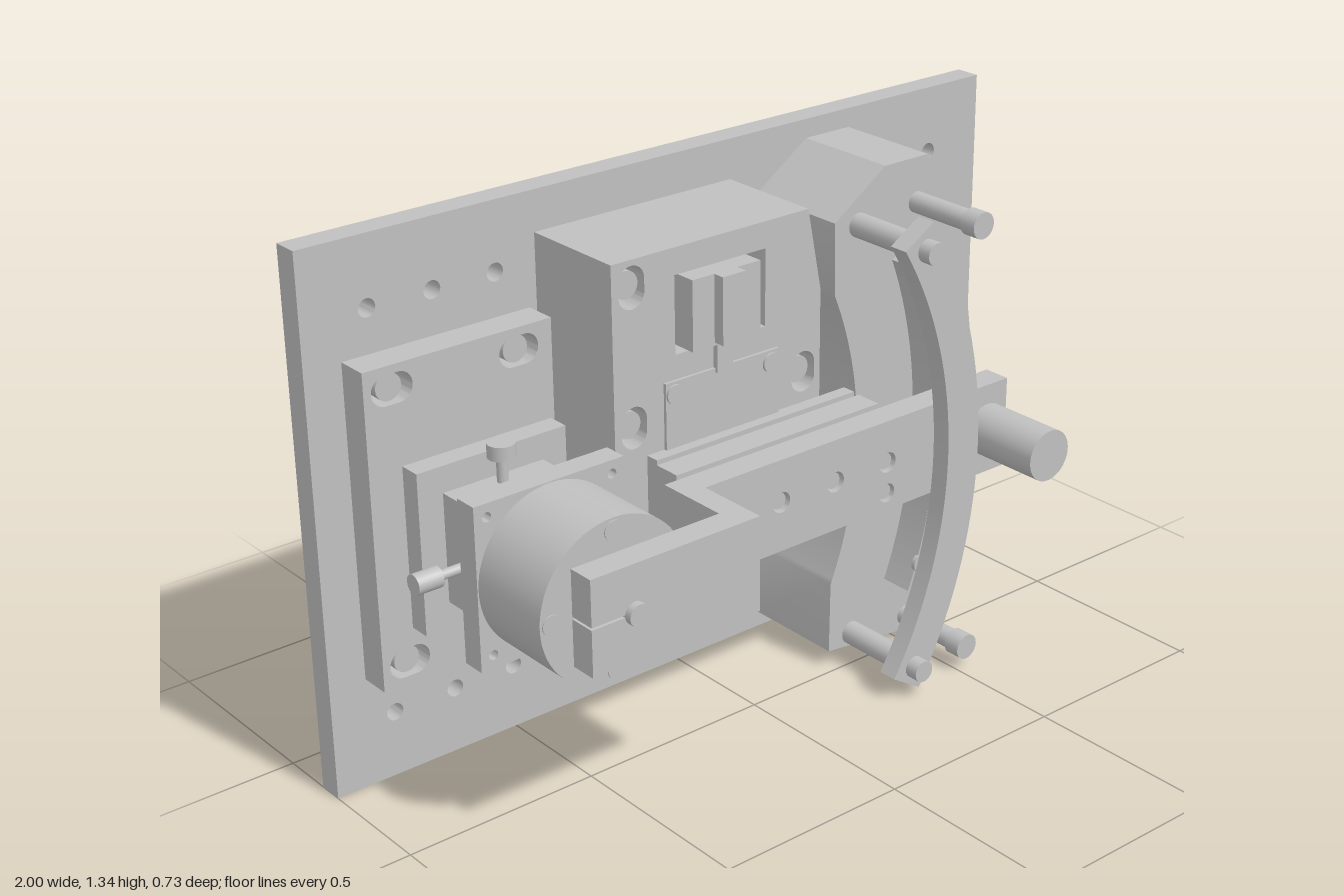
import * as THREE from 'three';
import { toCreasedNormals } from 'three/addons/utils/BufferGeometryUtils.js';

const PX = -0.62, PY = 0.617; // pivot of the swinging arm

export function createModel() {
  const root = new THREE.Group();
  const metal = new THREE.MeshStandardMaterial({ color: 0xc0c0c0 });
  metal.name = 'machined grey';

  const add = (name, geo, x = 0, y = 0, z = 0) => {
    const m = new THREE.Mesh(geo, metal);
    m.name = name;
    m.position.set(x, y, z);
    root.add(m);
    return m;
  };
  // box from its limits
  const box = (name, x0, x1, y0, y1, z0, z1) =>
    add(name, new THREE.BoxGeometry(x1 - x0, y1 - y0, z1 - z0), (x0 + x1) / 2, (y0 + y1) / 2, (z0 + z1) / 2);
  // cylinder along z
  const rod = (name, x, y, r, z0, z1, sides = 32) =>
    add(name, new THREE.CylinderGeometry(r, r, z1 - z0, sides).rotateX(Math.PI / 2), x, y, (z0 + z1) / 2);
  // outline pulled from z0 to z1
  const slab = (name, shape, z0, z1, seg = 12) =>
    add(name, toCreasedNormals(new THREE.ExtrudeGeometry(shape,
      { depth: z1 - z0, bevelEnabled: false, curveSegments: seg }), 0.5), 0, 0, z0);
  const poly = pts => new THREE.Shape(pts.map(p => new THREE.Vector2(...p)));
  const rect = (x0, x1, y0, y1) => poly([[x0, y0], [x1, y0], [x1, y1], [x0, y1]]);
  const hole = (shape, x, y, r) => shape.holes.push(new THREE.Path().absarc(x, y, r, 0, Math.PI * 2, true));
  // rounded slot, half length h along x or y
  const slot = (shape, x, y, r, h, upright) => {
    const p = new THREE.Path(), q = Math.PI / 2;
    if (upright) p.absarc(x, y + h, r, 0, 2 * q, false).absarc(x, y - h, r, 2 * q, 4 * q, false);
    else p.absarc(x + h, y, r, -q, q, false).absarc(x - h, y, r, q, 3 * q, false);
    shape.holes.push(p);
  };
  // curved band about the pivot
  const band = (r0, r1, a) => new THREE.Shape()
    .absarc(PX, PY, r1, -a, a, false).absarc(PX, PY, r0, a, -a, true);

  // perforated back plate
  const plate = rect(-1, 1, 0, 1.335);
  for (let i = -5; i <= 5; i++)
    for (let j = 1; j <= 7; j++) hole(plate, i / 6, j / 6, 0.022);
  slab('backPlate', plate, -0.365, -0.3, 8);

  // slotted mounting plate on the right-hand side, with its bolts
  const mount = rect(-0.905, -0.41, 0.28, 1.06);
  for (const x of [-0.833, -0.5]) for (const y of [0.335, 1.004]) {
    slot(mount, x, y, 0.036, 0.017, false);
    rod('mountBolt', x, y, 0.033, -0.3, -0.235, 20);
  }
  slab('mountPlate', mount, -0.3, -0.22);

  // rotary stage
  box('stageBase', -0.82, -0.42, 0.417, 0.817, -0.22, -0.165);
  box('stageBody', -0.755, -0.485, 0.482, 0.752, -0.165, -0.01);
  const flange = rect(-0.82, -0.42, 0.417, 0.817);
  for (const sx of [-1, 1]) for (const sy of [-1, 1]) hole(flange, PX + sx * 0.167, PY + sy * 0.167, 0.012);
  slab('stageFlange', flange, -0.01, 0.05, 8);
  rod('stageDrum', PX, PY, 0.197, 0.05, 0.272, 64);
  for (let k = 0; k < 4; k++) {
    const a = k * Math.PI / 2;
    rod('drumScrew', PX + 0.167 * Math.cos(a), PY + 0.167 * Math.sin(a), 0.024, 0.27, 0.275, 20);
  }
  rod('stageShaft', PX, PY, 0.027, 0.27, 0.36, 24);
  const knob = (name, r, len, x, y, z, sideways) => {
    const m = add(name, new THREE.CylinderGeometry(r, r, len, 24), x, y, z);
    if (sideways) m.rotation.z = Math.PI / 2;
  };
  knob('topKnobStem', 0.013, 0.08, PX, 0.785, -0.13, false);
  knob('topKnob', 0.033, 0.035, PX, 0.83, -0.13, false);
  knob('sideKnobStem', 0.012, 0.08, -0.785, 0.592, -0.105, true);
  knob('sideKnob', 0.025, 0.065, -0.85, 0.592, -0.105, true);

  // centre block: solid back and a pocketed front layer
  const outline = [[-0.39, 0.44], [0.22, 0.44], [0.22, 1.03], [0.18, 1.235], [-0.39, 1.235]];
  slab('centreBlock', poly(outline), -0.3, -0.09);
  const face = poly(outline);
  face.holes.push(new THREE.Path([[-0.215, 0.98], [-0.215, 1.17], [0.05, 1.17], [0.05, 0.98]]
    .map(p => new THREE.Vector2(...p))));
  for (const [x, y] of [[-0.335, 1.17], [-0.335, 0.835], [0.167, 0.835]]) {
    slot(face, x, y, 0.036, 0.015, true);
    rod('blockBolt', x, y, 0.033, -0.09, -0.04, 20);
  }
  slab('centreBlockFace', face, -0.09, -0.02);

  // sensor in the pocket
  box('sensorBody', -0.18, 0.018, 0.982, 1.155, -0.09, 0);
  box('sensorRidge', -0.117, -0.05, 0.99, 1.155, 0, 0.03);
  box('sensorStem', -0.105, -0.06, 0.91, 0.985, -0.03, -0.005);
  box('sensorBracket', -0.25, 0.085, 0.74, 0.92, -0.025, -0.012);
  for (const x of [-0.225, 0.06]) rod('bracketScrew', x, 0.89, 0.024, -0.02, -0.006, 20);

  // rail behind the arm
  box('railBack', -0.3, 0.3, 0.51, 0.757, -0.02, 0.015);
  box('railFront', -0.3, 0.315, 0.51, 0.745, 0.015, 0.085);

  // cranked arm: split clamp, riser and long bar
  const clamp = poly([[-0.735, 0.5], [-0.275, 0.5], [-0.275, 0.733], [-0.735, 0.733],
    [-0.735, 0.62], [-0.64, 0.62], [-0.64, 0.614], [-0.735, 0.614]]);
  slab('armClamp', clamp, 0.275, 0.342);
  box('armRiser', -0.335, -0.275, 0.5, 0.733, 0.085, 0.275);
  const bar = rect(-0.275, 0.68, 0.5, 0.733);
  for (const x of [-0.217, -0.05, 0.117, 0.283]) {
    hole(bar, x, 0.625, 0.026);
    rod('armScrew', x, 0.625, 0.021, 0.085, 0.145, 16);
  }
  for (const x of [-0.165, 0.283]) {
    hole(bar, x, 0.545, 0.024);
    rod('armScrew', x, 0.545, 0.02, 0.085, 0.145, 16);
  }
  slab('armBar', bar, 0.085, 0.155);
  rod('armHandle', 0.615, PY, 0.065, 0.15, 0.365, 48);
  add('armFollower', new THREE.SphereGeometry(0.025, 20, 12), 0.48, PY, 0.085);

  // thick curved block
  const R = 1.355, r = 0.965;
  const at = (rad, y) => Math.asin((y - PY) / rad);
  const body = new THREE.Shape();
  body.moveTo(0.32, 0.008);
  body.absarc(PX, PY, R, at(R, 0.008), at(R, 1.287), false);
  body.lineTo(0.42, 1.287);
  body.lineTo(0.263, 1.18);
  body.absarc(PX, PY, r, at(r, 1.0), at(r, 0.234), true);
  body.lineTo(0.263, 0.045);
  slab('curvedBlock', body, -0.3, -0.02, 28);
  for (const y of [0.507, 0.727]) rod('curvedBlockBolt', 0.67, y, 0.033, -0.03, -0.014, 20);

  // curved scale strip and its bolts
  slab('curvedScale', band(1.152, 1.218, 0.382), -0.02, 0.067, 28);
  for (const s of [-1, 1]) rod('scaleBolt', 0.49, PY + s * 0.363, 0.025, 0.06, 0.071, 20);

  // front guide carried on posts, with free stop posts beside it
  slab('frontGuide', band(1.05, 1.15, 0.557), 0.16, 0.21, 28);
  for (const s of [-1, 1]) {
    rod('guidePost', 0.338, PY + s * 0.543, 0.03, -0.02, 0.16, 24);
    rod('guidePostTip', 0.338, PY + s * 0.543, 0.028, 0.21, 0.245, 24);
    rod('stopPost', 0.525, PY + s * 0.558, 0.026, -0.02, 0.16, 24);
    rod('stopPostHead', 0.525, PY + s * 0.558, 0.033, 0.16, 0.205, 24);
  }
  return root;
}
